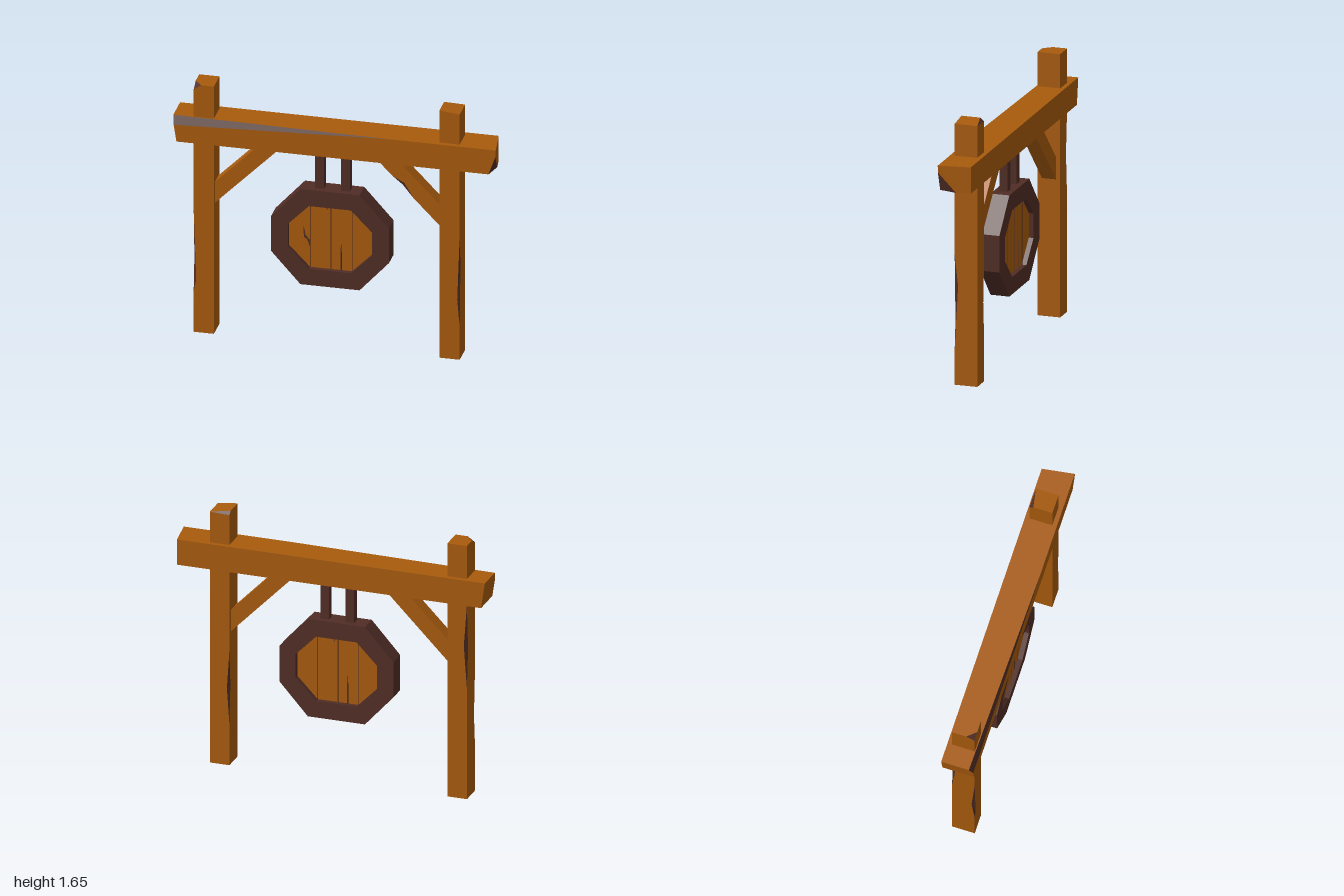
import * as THREE from 'three';

const wood = new THREE.MeshStandardMaterial({ color: 0xa85b0d, side: THREE.DoubleSide });
wood.name = 'orangeWood';
const dark = new THREE.MeshStandardMaterial({ color: 0x502d25, side: THREE.DoubleSide });
dark.name = 'darkWood';

const V = (x, y, z) => new THREE.Vector3(x, y, z);

// Split a flat polygon into triangles that face away from the centre
function triangulate(poly, center, out) {
  const n = V(0, 0, 0);
  poly.forEach((p, i) => n.add(p.clone().cross(poly[(i + 1) % poly.length])));
  n.normalize();
  const u = poly[1].clone().sub(poly[0]).normalize();
  const v = n.clone().cross(u);
  const flat = poly.map((p) => new THREE.Vector2(p.dot(u), p.dot(v)));
  for (const [i, j, k] of THREE.ShapeUtils.triangulateShape(flat, [])) {
    const [a, b, c] = [poly[i], poly[j], poly[k]];
    const normal = b.clone().sub(a).cross(c.clone().sub(a));
    const outward = normal.dot(a.clone().add(b).add(c).divideScalar(3).sub(center)) > 0;
    for (const p of outward ? [a, b, c] : [a, c, b]) out.push(p.x, p.y, p.z);
  }
}

// Faceted timber: wooden faces plus dark chipped faces
function timber(name, center, woodFaces, darkFaces) {
  const pos = [];
  woodFaces.forEach((f) => triangulate(f, center, pos));
  const split = pos.length / 3;
  darkFaces.forEach((f) => triangulate(f, center, pos));
  const g = new THREE.BufferGeometry();
  g.setAttribute('position', new THREE.Float32BufferAttribute(pos, 3));
  g.addGroup(0, split, 0);
  g.addGroup(split, pos.length / 3 - split, 1);
  g.computeVertexNormals();
  const mesh = new THREE.Mesh(g, [wood, dark]);
  mesh.name = name;
  return mesh;
}

// Post open at the bottom; corners run front x0, front x1, back x1, back x0.
// A chip is { y0, y1, prev: [inset, y], next: [inset, y] } on its two faces.
function post(name, x0, x1, chips, tops, topFace, topChip) {
  const z = 0.072;
  const corners = [V(x0, 0, z), V(x1, 0, z), V(x1, 0, -z), V(x0, 0, -z)];
  const darkFaces = [topChip];
  const chains = corners.map((c, k) => {
    const prev = [c], next = [c], chip = chips[k];
    if (chip) {
      const at = (y) => V(c.x, y, c.z);
      const mid = (other, [inset, y]) =>
        c.clone().add(other.clone().sub(c).setLength(inset)).setY(y);
      const a = mid(corners[(k + 3) % 4], chip.prev), b = mid(corners[(k + 1) % 4], chip.next);
      const lo = at(chip.y0), hi = at(chip.y1);
      prev.push(lo, a, hi);
      next.push(lo, b, hi);
      darkFaces.push([lo, a, b], [hi, a, b]);
    }
    prev.push(...tops[k].prev);
    next.push(...tops[k].next);
    return { prev, next };
  });
  const sides = chains.map((c, k) => [...c.next, ...[...chains[(k + 1) % 4].prev].reverse()]);
  return timber(name, V((x0 + x1) / 2, 0.8, 0), [...sides, topFace], darkFaces);
}

function rightPost() {
  const x0 = -0.875, x1 = -0.75, y = 1.655, z = 0.072;
  const edge = V(x0, 1.622, z), f = V(-0.828, y, z), s = V(x0, y, 0.018);
  const [b, c, d] = [V(x1, y, z), V(x1, y, -z), V(x0, y, -z)];
  const same = (p) => ({ prev: [p], next: [p] });
  return post('rightPost', x0, x1, {
    0: { y0: 0.27, y1: 0.83, prev: [0.02, 0.5], next: [0.016, 0.35] },
    3: { y0: 0.72, y1: 1.27, prev: [0.02, 1.0], next: [0.02, 0.97] },
  }, [{ prev: [edge, s], next: [edge, f] }, same(b), same(c), same(d)], [f, b, c, d, s], [edge, f, s]);
}

function leftPost() {
  const x0 = 0.645, x1 = 0.77, z = 0.072;
  const [a, b, c] = [V(x0, 1.655, z), V(x1, 1.64, z), V(x1, 1.64, -z)];
  const low = V(x0, 1.635, -z), s = V(x0, 1.655, -0.048);
  const same = (p) => ({ prev: [p], next: [p] });
  return post('leftPost', x0, x1, {
    1: { y0: 0.22, y1: 0.82, prev: [0.015, 0.4], next: [0.022, 0.62] },
    3: { y0: 0.27, y1: 0.75, prev: [0.016, 0.5], next: [0.018, 0.52] },
  }, [same(a), same(b), same(c), { prev: [low], next: [low, s] }], [a, b, c, s], [c, low, s]);
}

function crossBeam() {
  const t = 1.44, b = 1.275;
  // right end with the long bevel on its top front edge
  const A = V(-1, t, -0.1), B = V(-0.975, b, -0.1), C = V(-0.975, b, 0.1);
  const D = V(-0.992, 1.385, 0.1), E = V(-1, t, 0.075), F = V(0.33, t, 0.1);
  // left end with a chipped lower front corner
  const G = V(1, t, 0.1), P = V(0.997, 1.395, 0.1), Q = V(0.955, b, 0.1);
  const R = V(0.983, b, -0.01), S = V(0.97, b, -0.1), T = V(0.97, t, -0.1);
  return timber('crossBeam', V(0, 1.36, 0), [
    [A, E, F, G, T], [B, C, Q, R, S], [A, B, S, T],
    [C, D, F, G, P, Q], [A, B, C, D, E], [G, P, R, S, T],
  ], [[D, E, F], [P, Q, R]]);
}

// Diagonal brace between post and beam; side is +1 or -1
function brace(name, side, inner, outer, chipped) {
  const z = 0.045, m = (x, y, zz) => V(side * x, y, zz);
  const ends = (zz) => [m(inner, 1.275, zz), m(inner + 0.138, 1.275, zz), m(outer, 1.005, zz), m(outer, 0.865, zz)];
  const f = ends(z), k = ends(-z);
  const chip = [0.25, 0.58].map((s) => f[0].clone().lerp(f[3], s));
  const mid = f[0].clone().lerp(f[3], 0.4);
  const onFace = mid.clone().add(m(0.018, 0.018, 0)), under = mid.clone().setZ(z - 0.02);
  const front = chipped ? [...f, chip[1], onFace, chip[0]] : f;
  const below = chipped ? [f[0], chip[0], under, chip[1], f[3], k[3], k[0]] : [f[0], f[3], k[3], k[0]];
  return timber(name, m((inner + outer) / 2 + 0.06, 1.07, 0),
    [front, k, below, [f[1], f[2], k[2], k[1]]],
    chipped ? chip.map((c) => [c, onFace, under]) : []);
}

// Elongated octagon outline from half sizes and half edge lengths
const octagon = (w, h, ex, ey) =>
  [[ex, h], [w, ey], [w, -ey], [ex, -h], [-ex, -h], [-w, -ey], [-w, ey], [-ex, h]]
    .map(([x, y]) => new THREE.Vector2(x, y));

function extrude(name, shape, depth, material) {
  const g = new THREE.ExtrudeGeometry(shape, { depth, bevelEnabled: false });
  g.translate(0, 0, -depth / 2);
  const mesh = new THREE.Mesh(g, material);
  mesh.name = name;
  return mesh;
}

function hangingSign() {
  const sign = new THREE.Group();
  sign.name = 'hangingSign';
  sign.position.set(-0.035, 0.706, 0);

  const frame = new THREE.Shape(octagon(0.365, 0.318, 0.183, 0.115));
  frame.holes.push(new THREE.Path(octagon(0.26, 0.21, 0.13, 0.077)));
  sign.add(extrude('signFrame', frame, 0.12, dark));
  sign.add(extrude('signPlanks', new THREE.Shape(octagon(0.262, 0.212, 0.131, 0.078)), 0.06, wood));

  // plank seams and cracks as thin plates on both sides
  const cracks = [
    [[-0.17, 0.06], [-0.158, 0.0], [-0.13, -0.03], [-0.13, -0.075], [-0.146, -0.03], [-0.168, -0.01]],
    [[-0.037, 0.21], [-0.018, 0.21], [-0.024, 0.18], [-0.029, 0.2]],
    [[0.058, -0.21], [0.066, -0.21], [0.066, -0.09], [0.062, -0.03], [0.058, -0.1]],
  ];
  const seams = [[-0.13, 0.002], [0, 0.004], [0.13, 0.003]];
  for (const side of [1, -1]) {
    const face = new THREE.Group();
    face.name = side > 0 ? 'frontPlankDetails' : 'backPlankDetails';
    face.rotation.y = side > 0 ? 0 : Math.PI;
    for (const [x, w] of seams) {
      const seam = new THREE.Mesh(new THREE.BoxGeometry(w, 0.42, 0.004), dark);
      seam.name = 'plankSeam';
      seam.position.set(x, 0, 0.031);
      face.add(seam);
    }
    for (const c of side > 0 ? cracks : cracks.slice(1)) {
      const shape = new THREE.Shape(c.map(([x, y]) => new THREE.Vector2(x, y)));
      const crack = extrude('plankCrack', shape, 0.004, dark);
      crack.position.z = 0.031;
      face.add(crack);
    }
    sign.add(face);
  }

  // straps up to the beam
  for (const x of [-0.073, 0.088]) {
    const strap = new THREE.Mesh(new THREE.BoxGeometry(0.054, 0.29, 0.05), dark);
    strap.name = 'hangerStrap';
    strap.position.set(x, 0.435, 0);
    sign.add(strap);
  }
  return sign;
}

export function createModel() {
  const model = new THREE.Group();
  model.name = 'hangingSignGate';
  model.add(
    rightPost(), leftPost(), crossBeam(),
    brace('rightBrace', -1, 0.345, 0.75, false),
    brace('leftBrace', 1, 0.245, 0.645, true),
    hangingSign(),
  );
  return model;
}
